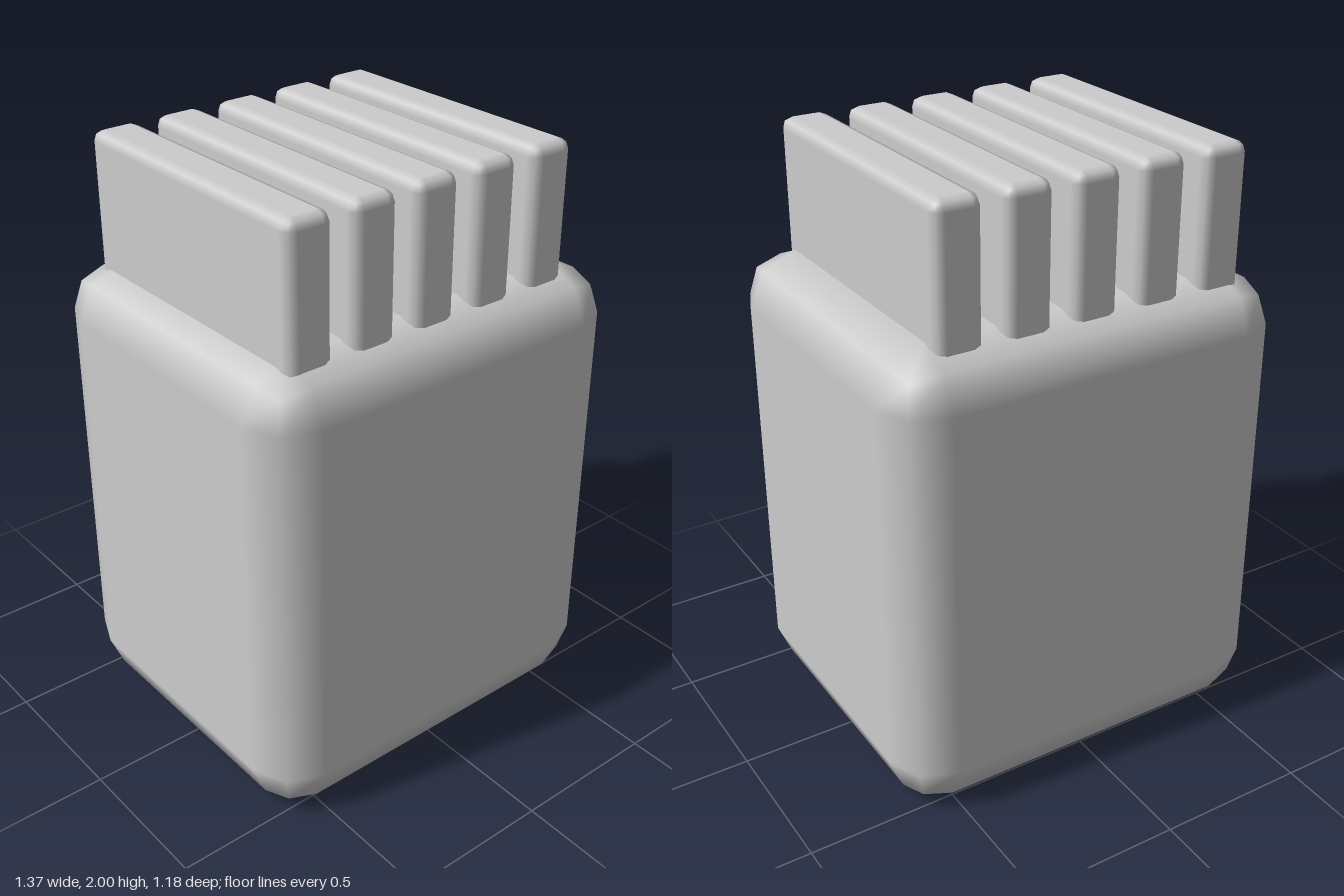
import * as THREE from 'three';
import { RoundedBoxGeometry } from 'three/addons/geometries/RoundedBoxGeometry.js';

export function createModel() {
  const model = new THREE.Group();
  model.name = 'blockWithFins';
  const grey = new THREE.MeshStandardMaterial({ color: 0xcccccc });
  grey.name = 'light grey';

  // Rounded box with its base at height y; each edge turns in two steps
  function roundedBlock(name, w, h, d, radius, x, y) {
    const mesh = new THREE.Mesh(new RoundedBoxGeometry(w, h, d, 1, radius), grey);
    mesh.name = name;
    mesh.position.set(x, y + h / 2, 0);
    model.add(mesh);
  }

  // Main body
  roundedBlock('body', 1.37, 1.576, 1.18, 0.165, 0, 0);

  // Five upright fins, sunk a little into the top of the body
  for (let i = 0; i < 5; i++) {
    roundedBlock('fin' + (i + 1), 0.16, 0.56, 0.98, 0.036, -0.48 + i * 0.229, 1.44);
  }
  return model;
}
